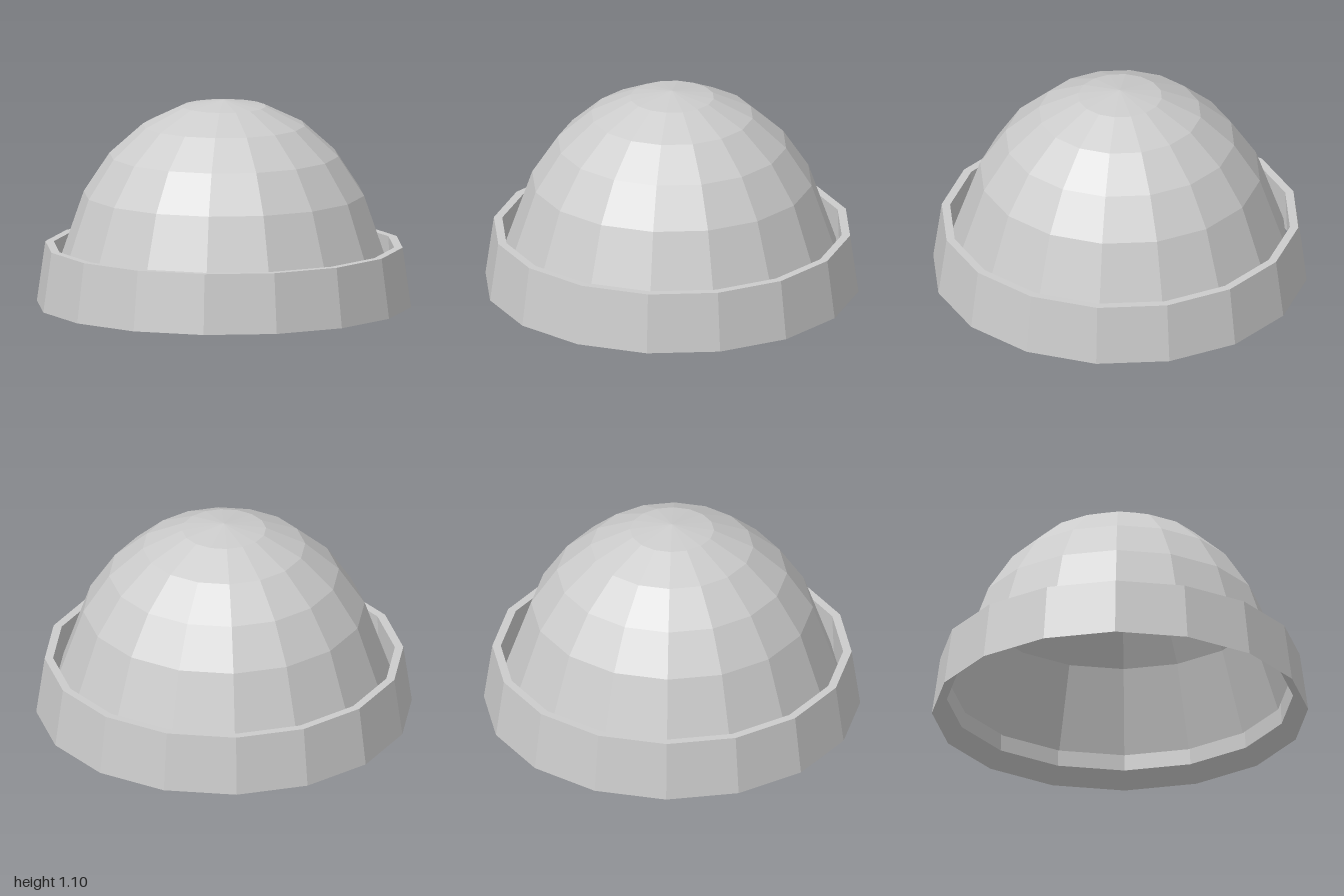
import * as THREE from 'three';

const SIDES = 16;

// Revolves a list of [radius, height] pairs into a faceted, named mesh.
function revolve(name, profile) {
  const points = profile.map(([r, y]) => new THREE.Vector2(r, y));
  const material = new THREE.MeshStandardMaterial({
    color: 0xcccccc, flatShading: true, side: THREE.DoubleSide,
  });
  const mesh = new THREE.Mesh(new THREE.LatheGeometry(points, SIDES), material);
  mesh.name = name;
  return mesh;
}

export function createModel() {
  const hat = new THREE.Group();
  hat.name = 'knitCap';

  // Open dome: rounded crown in 15 degree steps, with a straight flared lower row
  const dome = [[0.9, 0.16]];
  for (let i = 4; i >= 0; i--) {
    const a = THREE.MathUtils.degToRad(15 * i);
    dome.push([0.865 * Math.sin(a), 0.09 + 1.01 * Math.cos(a)]);
  }
  hat.add(revolve('crown', dome));

  // Turned-up cuff: closed ring with a tapered outer wall and bevelled underside
  hat.add(revolve('cuff', [
    [0.92, 0.08], [1, 0], [0.955, 0.32], [0.91, 0.32], [0.92, 0.08],
  ]));

  return hat;
}
